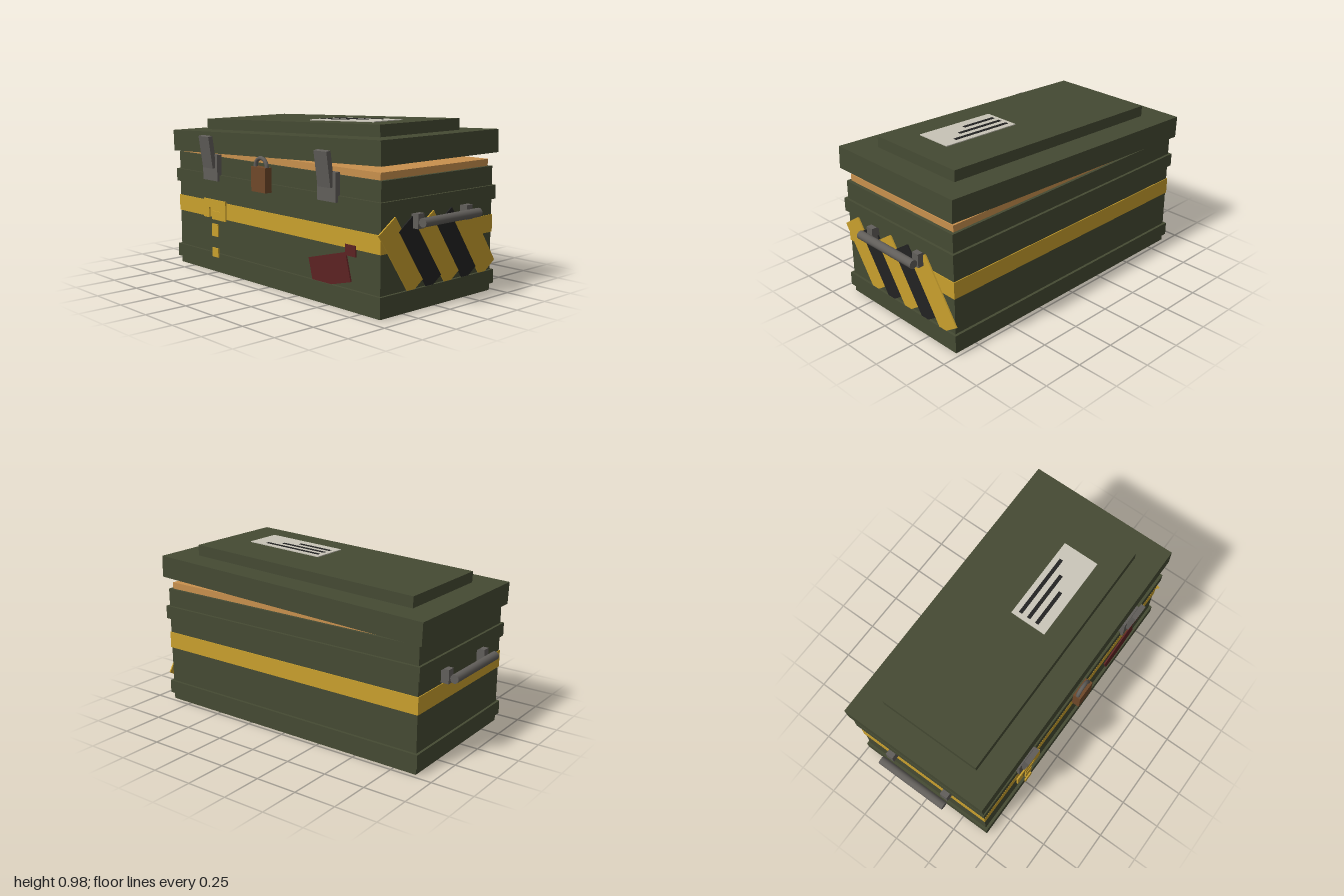
import * as THREE from 'three';

const mat = (name, color) => {
  const m = new THREE.MeshStandardMaterial({ color });
  m.name = name;
  return m;
};

export function createModel() {
  const olive = mat('olive paint', 0x454a33);
  const yellow = mat('yellow paint', 0xc9a02d);
  const black = mat('black paint', 0x222222);
  const wood = mat('wood', 0xc8904d);
  const steel = mat('steel', 0x615e5a);
  const rust = mat('rusty brown', 0x6f4829);
  const red = mat('dark red paint', 0x5c2222);
  const paper = mat('label paper', 0xc9c5b8);

  const root = new THREE.Group();
  root.name = 'crate';
  const Z0 = -0.027; // depth centre of the case

  const add = (parent, name, geometry, material, x, y, z) => {
    const mesh = new THREE.Mesh(geometry, material);
    mesh.name = name;
    mesh.position.set(x, y, z);
    parent.add(mesh);
    return mesh;
  };
  const box = (parent, name, material, w, h, d, x, y, z) =>
    add(parent, name, new THREE.BoxGeometry(w, h, d), material, x, y, z);

  // Case with raised bands, painted stripe and wooden liner
  box(root, 'caseBody', olive, 1.78, 0.716, 0.892, 0, 0.358, Z0);
  box(root, 'lowerBand', olive, 1.81, 0.08, 0.924, 0, 0.082, Z0);
  box(root, 'upperBand', olive, 1.81, 0.079, 0.924, 0, 0.569, Z0);
  box(root, 'yellowStripe', yellow, 1.79, 0.1, 0.902, 0, 0.39, Z0);
  box(root, 'woodLiner', wood, 1.74, 0.1, 0.86, 0, 0.705, Z0);

  // Lid sitting askew, with raised panel and label
  const lid = new THREE.Group();
  lid.name = 'lid';
  lid.position.set(-0.005, 0.8225, Z0);
  lid.rotation.z = 0.039;
  root.add(lid);
  box(lid, 'lidShell', olive, 1.829, 0.13, 0.94, 0, 0, 0);
  box(lid, 'lidPanel', olive, 1.52, 0.07, 0.632, 0.003, 0.095, 0.001);
  box(lid, 'label', paper, 0.518, 0.006, 0.225, 0.322, 0.132, 0.065);
  [[0.395, -0.031], [0.315, 0.024], [0.23, 0.08]].forEach(([w, z]) =>
    box(lid, 'labelBar', black, w, 0.004, 0.022, 0.09 + w / 2, 0.1345, z - Z0));

  // Front latches: plate and lever leaning outwards
  for (const s of [-1, 1]) {
    const latch = new THREE.Group();
    latch.name = s > 0 ? 'leftLatch' : 'rightLatch';
    latch.position.x = 0.52 * s;
    root.add(latch);
    box(latch, 'latchPlate', steel, 0.145, 0.16, 0.032, 0, 0.653, 0.436);
    box(latch, 'latchLever', steel, 0.1, 0.195, 0.03, 0, 0.748, 0.468).rotation.x = 0.15;
  }

  // Padlock
  const padlock = new THREE.Group();
  padlock.name = 'padlock';
  padlock.position.set(-0.003, 0.635, 0.469);
  root.add(padlock);
  box(padlock, 'padlockBody', rust, 0.125, 0.142, 0.048, 0, 0, 0);
  add(padlock, 'shackle', new THREE.TorusGeometry(0.05, 0.012, 8, 24, Math.PI), steel, 0, 0.071, 0);

  // Side handles: round bar and two mounts
  for (const s of [-1, 1]) {
    const handle = new THREE.Group();
    handle.name = s > 0 ? 'leftHandle' : 'rightHandle';
    handle.position.set(0, 0.489, Z0);
    root.add(handle);
    add(handle, 'handleBar', new THREE.CylinderGeometry(0.025, 0.025, 0.456, 16), steel, 0.975 * s, 0, 0)
      .rotation.x = Math.PI / 2;
    for (const k of [-1, 1])
      box(handle, 'handleMount', steel, 0.05, 0.08, 0.048, 0.913 * s, 0, 0.196 * k);
  }

  // Hazard stripes on the left side, each lapping over the one before
  for (let i = 0; i < 5; i++)
    box(root, 'hazardStripe', i % 2 ? black : yellow, 0.008, 0.419, 0.146,
      0.8975 + i * 0.0006, 0.3105, 0.2665 - i * 0.14625).rotation.x = 0.595;

  // Hooked yellow marking on the front: [width, height, x, y]
  [
    [0.22, 0.05, -0.49, 0.43],
    [0.055, 0.065, -0.5725, 0.3725],
    [0.055, 0.02, -0.4075, 0.395],
    [0.14, 0.052, -0.45, 0.359],
    [0.06, 0.077, -0.49, 0.267],
    [0.06, 0.056, -0.49, 0.128],
  ].forEach(([w, h, x, y]) => box(root, 'yellowMarking', yellow, w, h, 0.009, x, y, 0.442));

  // Dark red paint patches
  box(root, 'redPatch', red, 0.3, 0.16, 0.009, 0.517, 0.2, 0.4235).rotation.z = 0.26;
  box(root, 'redPatchSmall', red, 0.078, 0.06, 0.009, 0.679, 0.33, 0.4245);

  return root;
}
